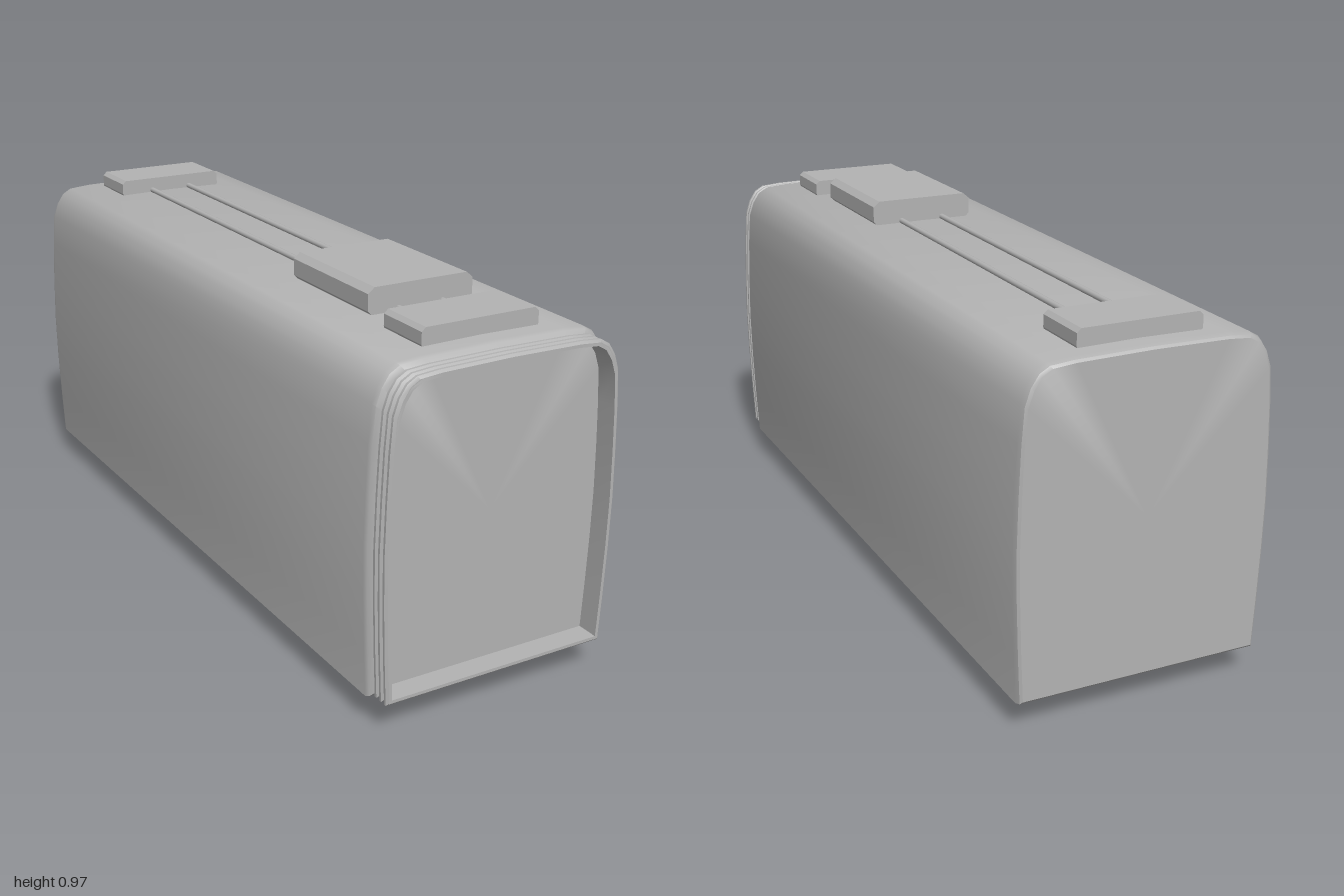
import * as THREE from 'three';
import { toCreasedNormals } from 'three/addons/utils/BufferGeometryUtils.js';

// Right half of the carriage cross-section, floor corner to roof centre
const HALF = [
  [0.322, 0.077], [0.328, 0.2], [0.333, 0.34], [0.335, 0.47], [0.332, 0.6], [0.327, 0.72],
  [0.32, 0.81], [0.306, 0.85], [0.286, 0.88], [0.26, 0.895], [0.2, 0.9], [0, 0.903],
];
const RING = [...HALF, ...HALF.slice(0, -1).reverse().map(([x, y]) => [-x, y])];
const MID = 0.49;

// Skin the cross-section along z; each station is [z, inset]
function loft(stations, capped) {
  const pos = [], idx = [], n = RING.length;
  for (const [z, d] of stations) {
    const sx = 1 - d / 0.335, sy = 1 - d / 0.413;
    for (const [x, y] of RING) pos.push(x * sx, MID + (y - MID) * sy, z);
  }
  for (let i = 0; i < stations.length - 1; i++) {
    for (let j = 0; j < n; j++) {
      const k = (j + 1) % n, a = i * n + j, b = i * n + k;
      idx.push(a, b, a + n, b, b + n, a + n);
    }
  }
  if (capped) {
    const last = (stations.length - 1) * n, c = pos.length / 3;
    pos.push(0, MID, stations[0][0], 0, MID, stations[stations.length - 1][0]);
    for (let j = 0; j < n; j++) {
      const k = (j + 1) % n;
      idx.push(c, k, j, c + 1, last + j, last + k);
    }
  }
  const g = new THREE.BufferGeometry();
  g.setAttribute('position', new THREE.Float32BufferAttribute(pos, 3));
  g.setIndex(idx);
  return toCreasedNormals(g, 0.6);
}

// Roof box with an x/y outline (right half) extruded from z0 to z1
function roofBox(half, z0, z1) {
  const pts = [...half, ...half.slice().reverse().map(([x, y]) => [-x, y])];
  const shape = new THREE.Shape(pts.map(([x, y]) => new THREE.Vector2(x, y)));
  return new THREE.ExtrudeGeometry(shape, { depth: z1 - z0, bevelEnabled: false }).translate(0, 0, z0);
}

export function createModel() {
  const group = new THREE.Group();
  const grey = new THREE.MeshStandardMaterial({ color: 0xb3b3b3, side: THREE.DoubleSide });
  grey.name = 'plain grey';
  const add = (name, geometry, x = 0, y = 0, z = 0) => {
    const mesh = new THREE.Mesh(geometry, grey);
    mesh.name = name;
    mesh.position.set(x, y, z);
    group.add(mesh);
    return mesh;
  };

  // Carriage shell with softened ends
  add('carriageBody', loft([
    [-1, 0.01], [-0.995, 0.004], [-0.98, 0], [0.92, 0], [0.932, 0.004], [0.94, 0.014],
  ], true));

  // Ribbed gangway bellows, open towards the front, with an inner lining
  const ribs = [[0.935, 0.018]];
  for (let i = 0; i < 3; i++) {
    const z = 0.942 + i * 0.02;
    ribs.push([z, 0.018], [z + 0.005, 0.01], [z + 0.012, 0.01], [z + 0.018, 0.018]);
  }
  ribs.push([1, 0.016], [1, 0.024], [0.941, 0.024]);
  add('gangwayBellows', loft(ribs, false));

  // Roof equipment
  const low = [[0.16, 0.895], [0.163, 0.905], [0.163, 0.935], [0.152, 0.945]];
  add('frontRoofBox', roofBox(low, 0.72, 0.875));
  add('rearRoofBox', roofBox(low, -0.94, -0.785));
  const tall = [[0.14, 0.902], [0.15, 0.912], [0.15, 0.955], [0.132, 0.97]];
  add('airConditioner', roofBox(tall, 0.275, 0.63));
  for (const x of [-0.063, 0.063]) {
    add('roofPipe', new THREE.CylinderGeometry(0.008, 0.008, 1.52, 10).rotateX(Math.PI / 2), x, 0.908, -0.035);
  }

  // Bogie plate, axles and flanged wheels
  add('bogiePlate', new THREE.BoxGeometry(0.45, 0.012, 0.54), 0, 0.078, -0.025);
  const wheelProfile = [[0, -0.017], [0.074, -0.017], [0.076, -0.012], [0.072, -0.006], [0.068, 0.012], [0.06, 0.015], [0, 0.015]]
    .map(([r, h]) => new THREE.Vector2(r, h));
  const wheel = toCreasedNormals(new THREE.LatheGeometry(wheelProfile, 24).rotateZ(-Math.PI / 2), 0.5);
  for (const z of [0.2, -0.25]) {
    add('axle', new THREE.CylinderGeometry(0.008, 0.008, 0.37, 10).rotateZ(Math.PI / 2), 0, 0.075, z);
    for (const side of [-1, 1]) {
      add('wheel', wheel, side * 0.19, 0.076, z).rotation.y = side < 0 ? Math.PI : 0;
    }
  }
  return group;
}
